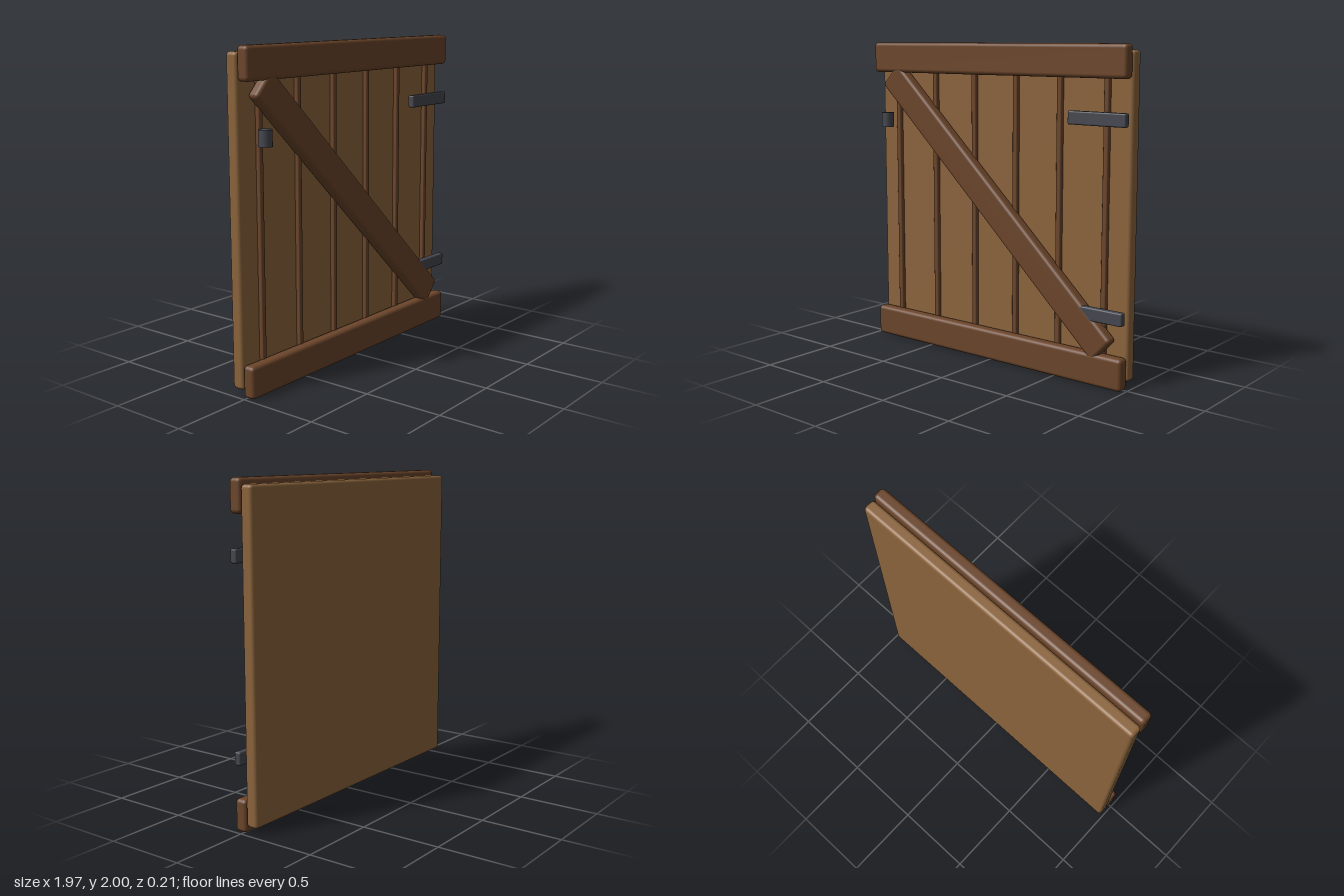
import * as THREE from 'three';
import { RoundedBoxGeometry } from 'three/addons/geometries/RoundedBoxGeometry.js';

const panelWood = new THREE.MeshStandardMaterial({ color: 0x8b643c });
const frameWood = new THREE.MeshStandardMaterial({ color: 0x6b452a });
const iron = new THREE.MeshStandardMaterial({ color: 0x45474f });

// Rounded box spanning the given x, y and z ranges
function block(name, [x0, x1], [y0, y1], [z0, z1], radius, material) {
  const geometry = new RoundedBoxGeometry(x1 - x0, y1 - y0, z1 - z0, 4, radius);
  const mesh = new THREE.Mesh(geometry, material);
  mesh.position.set((x0 + x1) / 2, (y0 + y1) / 2, (z0 + z1) / 2);
  mesh.name = name;
  return mesh;
}

export function createModel() {
  const gate = new THREE.Group();
  gate.name = 'gate';
  const width = [-0.983, 0.983];

  // Back panel
  gate.add(block('panel', width, [0.04, 1.965], [-0.105, -0.025], 0.022, panelWood));

  // Top and bottom rails
  const railDepth = [-0.023, 0.057];
  gate.add(block('topRail', width, [1.805, 2], railDepth, 0.024, frameWood));
  gate.add(block('bottomRail', width, [0, 0.195], railDepth, 0.024, frameWood));

  // Thin vertical strips along the panel
  for (let i = 0; i < 6; i++) {
    const x = -0.82 + i * 0.328;
    gate.add(block('strip', [x - 0.017, x + 0.017], [0.08, 1.92], [-0.04, 0.002], 0.008, frameWood));
  }

  // Diagonal brace
  const brace = block('brace', [-1.155, 1.155], [0.908, 1.102], [-0.022, 0.056], 0.024, frameWood);
  brace.rotation.z = -0.752;
  gate.add(brace);

  // Hinge straps
  for (const y of [0.432, 1.576]) {
    gate.add(block('hinge', [0.59, 0.983], [y - 0.04, y + 0.04], [0.012, 0.055], 0.01, iron));
  }

  // Latch post
  const latch = new THREE.Mesh(new THREE.CylinderGeometry(0.04, 0.04, 0.096, 24), iron);
  latch.position.set(-0.855, 1.493, 0.065);
  latch.name = 'latch';
  gate.add(latch);

  return gate;
}
